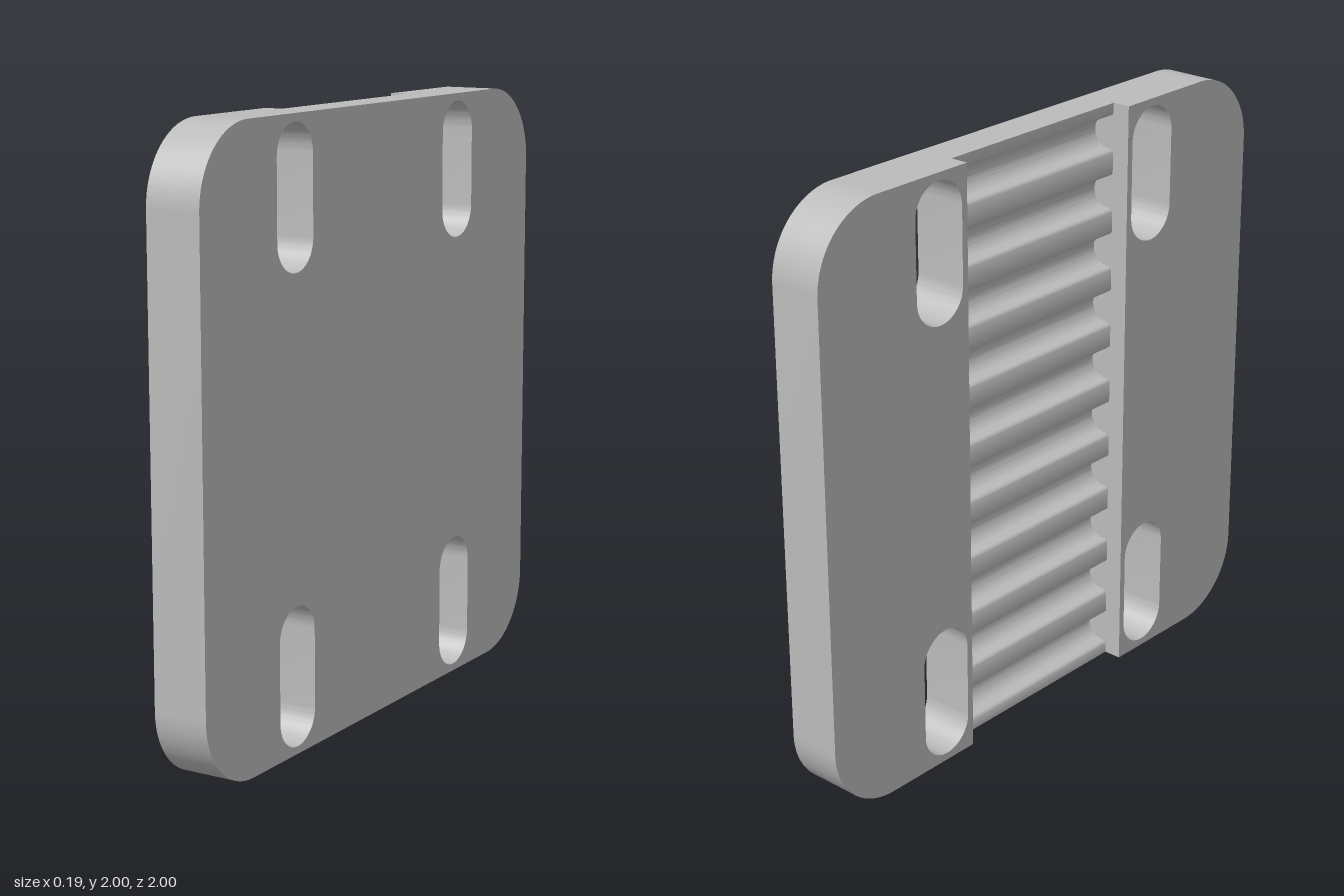
import * as THREE from 'three';
import { toCreasedNormals } from 'three/addons/utils/BufferGeometryUtils.js';

const HALF_T = 0.0925;   // half plate thickness (x)
const CHANNEL = 0.3775;  // half channel width (z)
const FLOOR = -0.031;    // x of the rib crests
const CORNER = 0.25;
const PITCH = 0.2;

function extrude(shape, depth) {
  const geo = new THREE.ExtrudeGeometry(shape, { depth, bevelEnabled: false, curveSegments: 20 });
  return toCreasedNormals(geo, 0.5);
}

// Vertical rounded slot hole
function slot(u, y0, y1, r) {
  const p = new THREE.Path();
  p.absarc(u, y1 - r, r, 0, Math.PI, false);
  p.absarc(u, y0 + r, r, Math.PI, Math.PI * 2, false);
  p.closePath();
  return p;
}

// Plate beside the channel, with two outer rounded corners and two slots
function sideShape(s) {
  const shape = new THREE.Shape();
  const c = s * (1 - CORNER);
  shape.moveTo(s * CHANNEL, 0);
  shape.lineTo(c, 0);
  shape.absarc(c, CORNER, CORNER, -Math.PI / 2, s > 0 ? 0 : -Math.PI, s < 0);
  shape.lineTo(s, 2 - CORNER);
  shape.absarc(c, 2 - CORNER, CORNER, s > 0 ? 0 : Math.PI, Math.PI / 2, s < 0);
  shape.lineTo(s * CHANNEL, 2);
  shape.closePath();
  shape.holes.push(slot(s * 0.5, 0.025, 0.48, 0.1), slot(s * 0.5, 1.52, 1.975, 0.1));
  return shape;
}

// Cross-section (x, y) of the toothed channel bed
function bedShape() {
  const r = 0.0555, inset = 0.0195, lip = 0.067;
  const shape = new THREE.Shape();
  shape.moveTo(HALF_T, 2);
  shape.lineTo(FLOOR, 2);
  for (let i = 9; i >= 0; i--) {
    const y = (i + 0.5) * PITCH;
    shape.lineTo(FLOOR, y + lip);
    shape.quadraticCurveTo(FLOOR + 0.004, y + r, FLOOR + inset, y + r);
    shape.absarc(FLOOR + inset, y, r, Math.PI / 2, -Math.PI / 2, true);
    shape.quadraticCurveTo(FLOOR + 0.004, y - r, FLOOR, y - lip);
  }
  shape.lineTo(FLOOR, 0);
  shape.lineTo(HALF_T, 0);
  shape.closePath();
  return shape;
}

export function createModel() {
  const group = new THREE.Group();
  group.name = 'beltClampPlate';
  const grey = new THREE.MeshStandardMaterial({ color: 0xbbbbbb });
  grey.name = 'grey';

  // Slotted side plates; shape u runs along -z
  for (const s of [1, -1]) {
    const geo = extrude(sideShape(s), HALF_T * 2);
    geo.rotateY(Math.PI / 2).translate(-HALF_T, 0, 0);
    const side = new THREE.Mesh(geo, grey);
    side.name = s > 0 ? 'backSidePlate' : 'frontSidePlate';
    group.add(side);
  }

  // Toothed bed between them
  const bed = new THREE.Mesh(extrude(bedShape(), CHANNEL * 2).translate(0, 0, -CHANNEL), grey);
  bed.name = 'toothedChannel';
  group.add(bed);
  return group;
}
